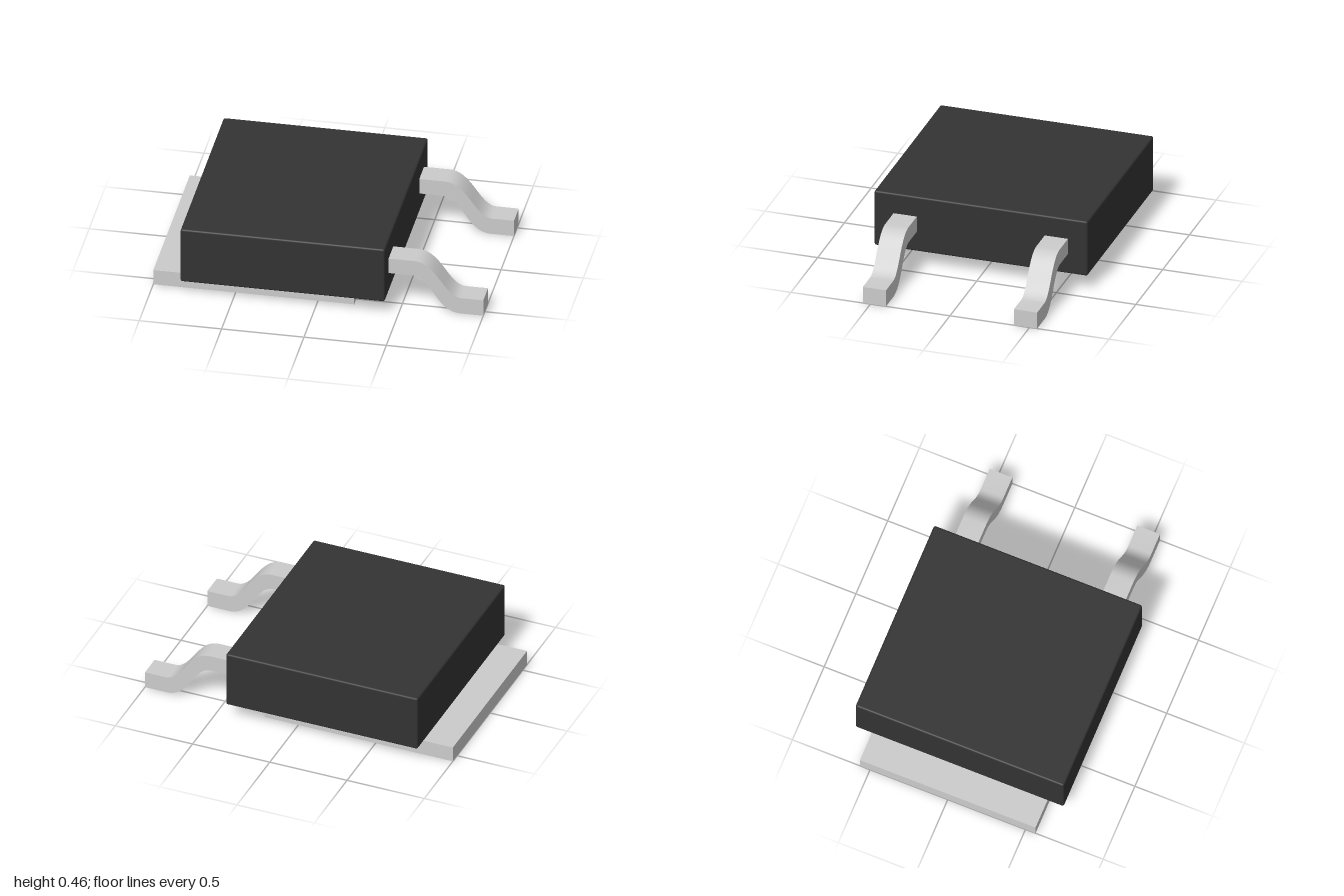
import * as THREE from 'three';
import { RoundedBoxGeometry } from 'three/addons/geometries/RoundedBoxGeometry.js';
import { toCreasedNormals } from 'three/addons/utils/BufferGeometryUtils.js';

const metal = new THREE.MeshStandardMaterial({ color: 0xcccccc });
const plastic = new THREE.MeshStandardMaterial({ color: 0x333333 });

function addPart(parent, name, geometry, material, x, y, z) {
  const mesh = new THREE.Mesh(geometry, material);
  mesh.name = name;
  mesh.position.set(x, y, z);
  parent.add(mesh);
}

// Side outline of a gull-wing lead, extruded across its width
function leadGeometry(width) {
  const s = new THREE.Shape();
  s.moveTo(0.38, 0.23);
  s.lineTo(0.57, 0.23);
  s.bezierCurveTo(0.69, 0.23, 0.71, 0, 0.86, 0);
  s.lineTo(1, 0);
  s.lineTo(1, 0.106);
  s.lineTo(0.865, 0.106);
  s.bezierCurveTo(0.76, 0.106, 0.72, 0.33, 0.58, 0.33);
  s.lineTo(0.38, 0.33);
  s.closePath();
  const g = new THREE.ExtrudeGeometry(s, { depth: width, bevelEnabled: false, curveSegments: 20 });
  g.translate(0, 0, -width / 2);
  return toCreasedNormals(g, 0.5);
}

export function createModel() {
  const model = new THREE.Group();
  model.name = 'powerTransistor';

  // Moulded plastic case with slightly softened edges
  addPart(model, 'body', new RoundedBoxGeometry(1.24, 0.36, 1.34, 3, 0.012), plastic, -0.195, 0.28, 0);

  // Flat metal tab under the case
  addPart(model, 'mountingTab', new THREE.BoxGeometry(1.22, 0.098, 1.13), metal, -0.39, 0.049, 0);

  // Pair of bent leads
  const lead = leadGeometry(0.146);
  for (const side of [-1, 1]) {
    addPart(model, side > 0 ? 'frontLead' : 'backLead', lead, metal, 0, 0, side * 0.475);
  }
  return model;
}
